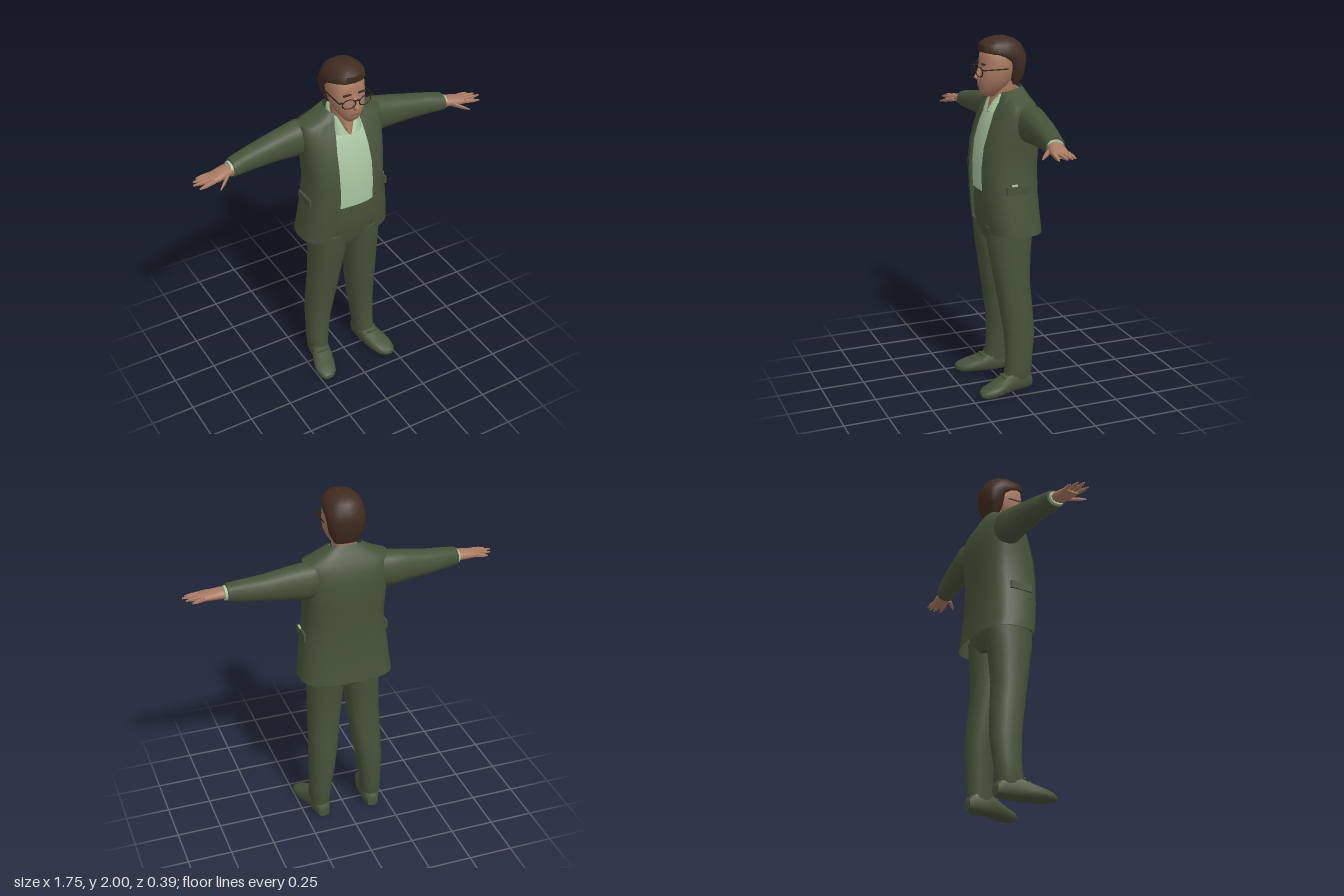
import * as THREE from 'three';
import { toCreasedNormals } from 'three/addons/utils/BufferGeometryUtils.js';

const paint = (name, color, side = THREE.FrontSide) => {
  const m = new THREE.MeshStandardMaterial({ color, side });
  m.name = name;
  return m;
};

// Which coordinate a ring's (across, along, depth) values become for each lofting axis.
const AXES = {
  y: (a, s, b) => [a, s, b],
  x: (a, s, b) => [s, b, a],
  z: (a, s, b) => [b, a, s],
};
const bend = (v, e) => Math.sign(v) * Math.abs(v) ** e;

function meshFrom(pos, index) {
  const g = new THREE.BufferGeometry();
  g.setAttribute('position', new THREE.Float32BufferAttribute(pos, 3));
  g.setIndex(index);
  return g;
}

// Closed, capped loft through rings [along, min across, max across, min depth, max depth].
function loft(rings, axis = 'y', n = 16, e = 0.85) {
  const pos = [], index = [], at = AXES[axis];
  const mid = (r) => at((r[1] + r[2]) / 2, r[0], (r[3] + r[4]) / 2);
  for (const [s, a0, a1, b0, b1] of rings)
    for (let i = 0; i < n; i++) {
      const t = (i / n) * Math.PI * 2;
      pos.push(...at((a0 + a1) / 2 + ((a1 - a0) / 2) * bend(Math.sin(t), e), s,
        (b0 + b1) / 2 + ((b1 - b0) / 2) * bend(Math.cos(t), e)));
    }
  const last = rings.length - 1, c = rings.length * n;
  pos.push(...mid(rings[0]), ...mid(rings[last]));
  for (let i = 0; i < n; i++) {
    const k = (i + 1) % n;
    for (let j = 0; j < last; j++) {
      const p = j * n, q = p + n;
      index.push(p + i, p + k, q + k, p + i, q + k, q + i);
    }
    index.push(k, i, c, last * n + i, last * n + k, c + 1);
  }
  return meshFrom(pos, index);
}

// Open garment wrapped round the body: rows [y, half width, front z, back z, front edge x, tilt].
// A span limits it to a strip beside the front edge; lift pushes it outwards.
function wrap(rows, n = 28, span = 0, lift = 0, e = 0.7) {
  const pos = [], index = [];
  rows.forEach(([y, w, zf, zb, edge, tilt = 0], j) => {
    const angle = (x) => Math.asin(Math.min(1, x / w) ** (1 / e));
    const t0 = angle(edge), t1 = span ? angle(edge + span * Math.sin((Math.PI * (j + 0.3)) / rows.length)) : Math.PI * 2 - t0;
    for (let i = 0; i <= n; i++) {
      const t = t0 + ((t1 - t0) * i) / n;
      const z = (zf + zb) / 2 + ((zf - zb) / 2 + lift) * bend(Math.cos(t), e);
      pos.push((w + lift) * bend(Math.sin(t), e), y - tilt * z, z);
      if (j && i) {
        const q = j * (n + 1) + i, p = q - n - 1;
        index.push(p - 1, p, q, p - 1, q, q - 1);
      }
    }
  });
  return meshFrom(pos, index);
}

function mirrored(geo) {
  const g = geo.clone().scale(-1, 1, 1), ix = g.index;
  for (let i = 0; i < ix.count; i += 3) {
    const a = ix.getX(i);
    ix.setX(i, ix.getX(i + 1));
    ix.setX(i + 1, a);
  }
  return g;
}

const box = (w, h, d, x, y, z) => new THREE.BoxGeometry(w, h, d).translate(x, y, z);

export function createModel() {
  const model = new THREE.Group();
  model.name = 'man';
  const suit = paint('suit green', 0x465239, THREE.DoubleSide);
  const shirt = paint('shirt pale green', 0xa9c4a0, THREE.DoubleSide);
  const skin = paint('skin', 0xa97a62);
  const hair = paint('hair brown', 0x3f2b20);
  const frame = paint('glasses frame', 0x2e221c);
  const lip = paint('lip', 0x85594a);

  const add = (name, geo, mat) => {
    const m = new THREE.Mesh(toCreasedNormals(geo, 1.0), mat);
    m.name = name;
    model.add(m);
  };
  const pair = (name, geo, mat) => {
    add('left' + name, geo, mat);
    add('right' + name, mirrored(geo), mat);
  };

  // Trousers
  pair('TrouserLeg', loft([
    [0.07, 0.105, 0.205, -0.115, 0.035], [0.12, 0.098, 0.215, -0.125, 0.032],
    [0.2, 0.09, 0.215, -0.13, 0.022], [0.34, 0.07, 0.215, -0.145, 0.028],
    [0.5, 0.045, 0.212, -0.135, 0.05], [0.65, 0.028, 0.208, -0.122, 0.075],
    [0.8, 0.01, 0.205, -0.13, 0.1], [0.9, -0.002, 0.205, -0.14, 0.115],
    [0.97, -0.01, 0.203, -0.145, 0.12]]), suit);
  add('hips', loft([
    [0.88, -0.12, 0.12, -0.12, 0.09], [0.94, -0.2, 0.2, -0.15, 0.115],
    [1.08, -0.195, 0.195, -0.15, 0.125], [1.18, -0.18, 0.18, -0.14, 0.125]], 'y', 20, 0.7), suit);

  // Shoes with laces
  pair('Shoe', loft([
    [-0.125, 0.01, 0.08, 0.12, 0.185], [-0.09, 0, 0.12, 0.105, 0.2],
    [0, 0, 0.12, 0.105, 0.215], [0.06, 0, 0.09, 0.113, 0.24],
    [0.12, 0, 0.066, 0.13, 0.257], [0.17, 0, 0.052, 0.15, 0.252],
    [0.197, 0.01, 0.035, 0.178, 0.235]], 'z', 14, 0.7), suit);
  for (const [y, z] of [[0.112, 0.02], [0.096, 0.05]])
    pair('ShoeLace', box(0.07, 0.008, 0.012, 0.17, y, z), suit);

  // Jacket, lapels and pocket flaps
  const coat = [
    [0.94, 0.265, 0.12, -0.195, 0.16], [1.0, 0.258, 0.13, -0.19, 0.12],
    [1.15, 0.24, 0.145, -0.178, 0.1], [1.3, 0.22, 0.15, -0.178, 0.1],
    [1.42, 0.225, 0.135, -0.185, 0.1], [1.52, 0.235, 0.1, -0.185, 0.095],
    [1.6, 0.24, 0.068, -0.175, 0.085], [1.65, 0.235, 0.04, -0.155, 0.078],
    [1.675, 0.16, 0.035, -0.135, 0.073, 0.1], [1.71, 0.09, 0.025, -0.11, 0.066, 0.25]];
  add('jacket', wrap(coat), suit);
  pair('Lapel', wrap(coat.slice(2, 8), 4, 0.07, 0.006), suit);
  pair('PocketFlap', box(0.012, 0.045, 0.13, 0.236, 1.2, -0.01), suit);
  add('pocketLining', box(0.01, 0.01, 0.03, 0.24, 1.228, 0.01), shirt);

  // Shirt body and collar
  add('shirt', loft([
    [1.165, -0.17, 0.17, -0.13, 0.135], [1.3, -0.17, 0.17, -0.13, 0.138],
    [1.42, -0.17, 0.17, -0.13, 0.125], [1.52, -0.17, 0.17, -0.13, 0.093],
    [1.59, -0.15, 0.15, -0.12, 0.066], [1.645, -0.09, 0.09, -0.09, 0.03]], 'y', 20, 0.7), shirt);
  add('shirtCollar', wrap([
    [1.6, 0.09, 0.085, -0.1, 0.022], [1.65, 0.085, 0.068, -0.1, 0.042],
    [1.7, 0.072, 0.045, -0.1, 0.058, 0.2]], 20), shirt);

  // Sleeves and cuffs
  pair('Sleeve', loft([
    [0.15, -0.15, 0.01, 1.46, 1.66], [0.24, -0.165, -0.01, 1.455, 1.655],
    [0.33, -0.15, -0.01, 1.465, 1.64], [0.45, -0.135, -0.005, 1.475, 1.615],
    [0.55, -0.112, 0.002, 1.48, 1.6], [0.648, -0.09, 0.015, 1.488, 1.582]], 'x'), suit);
  pair('Cuff', loft([[0.63, -0.08, 0.007, 1.495, 1.572], [0.662, -0.078, 0.008, 1.496, 1.57]], 'x'), shirt);

  // Hands
  pair('Palm', loft([
    [0.62, -0.068, 0, 1.503, 1.56], [0.68, -0.073, 0.018, 1.505, 1.56],
    [0.74, -0.066, 0.03, 1.505, 1.547], [0.785, -0.06, 0.027, 1.505, 1.535]], 'x', 12), skin);
  // Fingers: root x, root z, tip x, tip z, tip y
  const fingers = [
    [0.765, -0.05, 0.835, -0.062, 1.515], [0.77, -0.027, 0.862, -0.033, 1.52],
    [0.77, -0.003, 0.875, -0.002, 1.522], [0.765, 0.02, 0.855, 0.034, 1.515],
    [0.69, 0.015, 0.762, 0.08, 1.505]];
  for (const [x0, z0, x1, z1, y1] of fingers) {
    const ring = (f, r) => {
      const z = z0 + (z1 - z0) * f, y = 1.525 + (y1 - 1.525) * f;
      return [x0 + (x1 - x0) * f, z - r, z + r, y - r, y + r];
    };
    pair('Finger', loft([ring(0, 0.013), ring(0.6, 0.011), ring(1, 0.004)], 'x', 6), skin);
  }

  // Neck and head
  add('neck', loft([
    [1.59, -0.012, 0.012, -0.08, 0.08], [1.64, -0.046, 0.046, -0.085, 0.062],
    [1.7, -0.06, 0.06, -0.085, 0.045], [1.78, -0.06, 0.06, -0.09, 0.04]]), skin);
  add('head', loft([
    [1.68, -0.028, 0.028, 0.02, 0.09], [1.7, -0.046, 0.046, 0, 0.112],
    [1.73, -0.068, 0.068, -0.03, 0.122], [1.77, -0.087, 0.087, -0.06, 0.125],
    [1.82, -0.098, 0.098, -0.08, 0.12], [1.87, -0.1, 0.1, -0.1, 0.114],
    [1.92, -0.097, 0.097, -0.1, 0.108], [1.95, -0.08, 0.08, -0.08, 0.08]]), skin);
  add('nose', loft([
    [1.77, -0.014, 0.014, 0.1, 0.135], [1.785, -0.018, 0.018, 0.1, 0.152],
    [1.84, -0.008, 0.008, 0.1, 0.123]], 'y', 8), skin);
  add('mouth', box(0.045, 0.008, 0.006, 0, 1.738, 0.121), lip);

  // Hair: a full cap above the brow, only the back of the head below it
  add('hair', loft([
    [1.74, -0.065, 0.065, -0.1, -0.04], [1.8, -0.096, 0.096, -0.124, -0.02],
    [1.87, -0.107, 0.107, -0.139, 0.005], [1.895, -0.109, 0.109, -0.137, 0.05],
    [1.92, -0.109, 0.109, -0.13, 0.114], [1.96, -0.096, 0.096, -0.11, 0.118],
    [1.985, -0.066, 0.066, -0.075, 0.085], [2.0, -0.025, 0.025, -0.03, 0.035]]), hair);
  pair('Eyebrow', box(0.045, 0.009, 0.008, 0.043, 1.858, 0.112), hair);

  // Glasses
  pair('LensRim', new THREE.TorusGeometry(0.031, 0.003, 6, 20).scale(1.2, 0.85, 1)
    .rotateY(0.15).translate(0.047, 1.82, 0.138), frame);
  pair('GlassesArm', box(0.004, 0.006, 0.14, 0.1, 1.835, 0.06), frame);
  pair('GlassesHinge', box(0.022, 0.006, 0.005, 0.09, 1.835, 0.131), frame);
  add('glassesBridge', box(0.024, 0.006, 0.006, 0, 1.833, 0.142), frame);

  return model;
}
